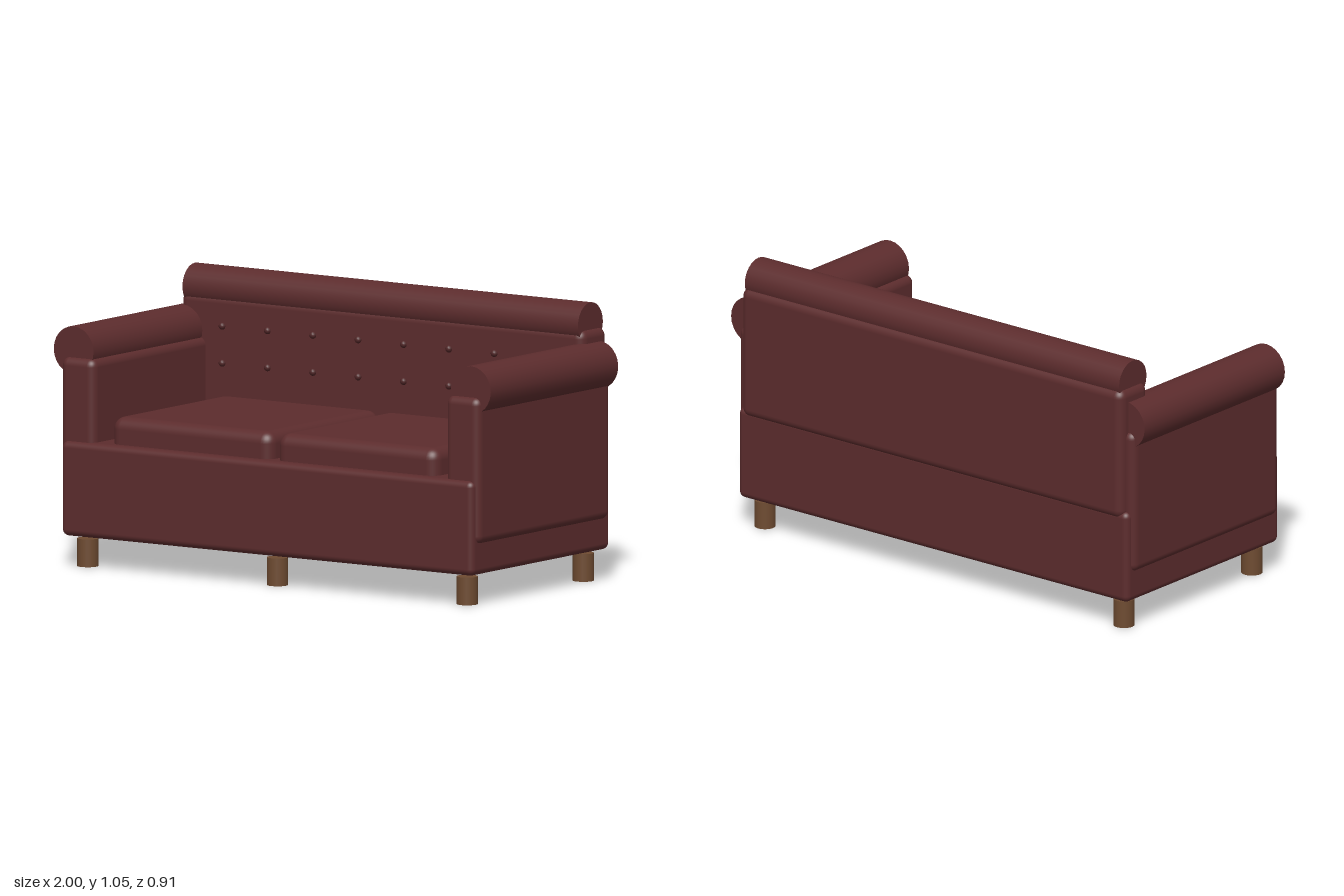
import * as THREE from 'three';
import { RoundedBoxGeometry } from 'three/addons/geometries/RoundedBoxGeometry.js';

const leather = new THREE.MeshStandardMaterial({ name: 'oxblood leather', color: 0x5c2c2d });
const buttonLeather = new THREE.MeshStandardMaterial({ name: 'dark button leather', color: 0x4f2526 });
const wood = new THREE.MeshStandardMaterial({ name: 'brown wood', color: 0x6e4b31 });

export function createModel() {
  const sofa = new THREE.Group();
  sofa.name = 'sofa';

  const add = (name, geometry, material, x, y, z) => {
    const mesh = new THREE.Mesh(geometry, material);
    mesh.name = name;
    mesh.position.set(x, y, z);
    sofa.add(mesh);
    return mesh;
  };
  // Rounded upholstery block given by its limits on each axis
  const block = (name, [x0, x1], [y0, y1], [z0, z1], radius) =>
    add(name, new RoundedBoxGeometry(x1 - x0, y1 - y0, z1 - z0, 4, radius), leather,
      (x0 + x1) / 2, (y0 + y1) / 2, (z0 + z1) / 2);

  // Base and backrest
  block('base', [-0.942, 0.942], [0.117, 0.475], [-0.445, 0.457], 0.025);
  block('backrest', [-0.922, 0.922], [0.445, 0.957], [-0.456, -0.29], 0.035);
  add('backRoll', new THREE.CylinderGeometry(0.081, 0.081, 1.81, 24), leather, 0, 0.974, -0.365)
    .rotation.z = Math.PI / 2;

  // Arms with rolled tops, and seat cushions
  for (const side of [-1, 1]) {
    const label = side > 0 ? 'left' : 'right';
    const span = (a, b) => (side > 0 ? [a, b] : [-b, -a]);
    block(label + 'Arm', span(0.803, 0.958), [0.234, 0.79], [-0.425, 0.438], 0.032);
    add(label + 'ArmRoll', new THREE.CylinderGeometry(0.091, 0.091, 0.828, 24), leather,
      side * 0.909, 0.815, 0.003).rotation.x = Math.PI / 2;
    block(label + 'Cushion', span(0.012, 0.745), [0.43, 0.577], [-0.32, 0.415], 0.045);
  }

  // Two rows of tufting buttons
  const button = new THREE.SphereGeometry(0.014, 12, 8);
  for (const y of [0.699, 0.839])
    for (let i = 0; i < 8; i++)
      add('button', button, buttonLeather, (i - 3.5) * 0.2075, y, -0.289);

  // Four corner legs and one front centre leg
  const leg = new THREE.CylinderGeometry(0.04, 0.04, 0.105, 24);
  for (const [x, z] of [[-0.868, 0.383], [0, 0.383], [0.868, 0.383], [-0.868, -0.372], [0.868, -0.372]])
    add('leg', leg, wood, x, 0.0525, z);

  return sofa;
}
